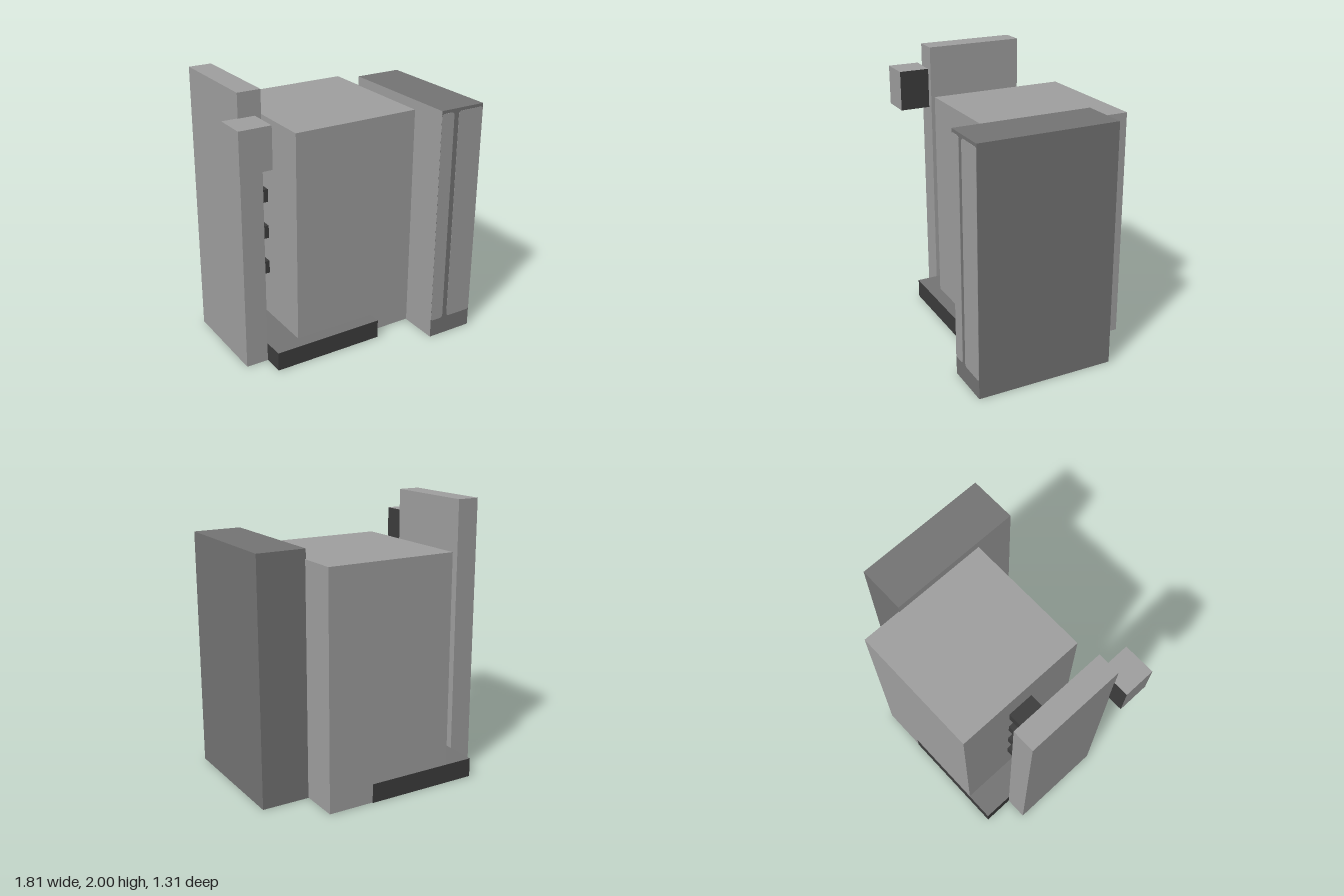
import * as THREE from 'three';

export function createModel() {
  const model = new THREE.Group();
  const material = (name, color) => {
    const m = new THREE.MeshStandardMaterial({ color });
    m.name = name;
    return m;
  };
  const light = material('lightGrey', 0x9f9f9f);
  const mid = material('midGrey', 0x747474);
  const dark = material('darkGrey', 0x3d3d3d);

  // Box from its limits; materials run +x, -x, +y, -y, +z, -z
  function block(name, [x0, x1], [y0, y1], [z0, z1], mats) {
    const mesh = new THREE.Mesh(new THREE.BoxGeometry(x1 - x0, y1 - y0, z1 - z0), mats);
    mesh.position.set((x0 + x1) / 2, (y0 + y1) / 2, (z0 + z1) / 2);
    mesh.name = name;
    model.add(mesh);
  }

  // Main body, with its underside just above the base plate's
  block('mainBody', [-0.415, 0.55], [0.003, 1.685], [-0.652, 0.355],
    [light, light, light, mid, light, light]);

  // Side tower
  block('tower', [0.545, 0.9], [0, 1.755], [-0.355, 0.652],
    [mid, light, mid, mid, mid, mid]);

  // Two light panels on the tower front, rounded beside the central strip
  function panel(name, outer, inner) {
    const s = Math.sign(outer - inner), bottom = 0.135, top = 1.732, r = 0.025;
    const shape = new THREE.Shape();
    shape.moveTo(outer, bottom + 0.008);
    shape.lineTo(outer - s * 0.015, bottom);
    shape.lineTo(inner + s * r, bottom);
    shape.quadraticCurveTo(inner, bottom, inner, bottom + r);
    shape.lineTo(inner, top - r);
    shape.quadraticCurveTo(inner, top, inner + s * r, top);
    shape.lineTo(outer - s * 0.015, top);
    shape.lineTo(outer, top - 0.008);
    const geometry = new THREE.ExtrudeGeometry(shape, { depth: 0.003, bevelEnabled: false, curveSegments: 4 });
    const mesh = new THREE.Mesh(geometry, light);
    mesh.position.z = 0.651;
    mesh.name = name;
    model.add(mesh);
  }
  panel('towerPanelInner', 0.546, 0.65);
  panel('towerPanelOuter', 0.899, 0.69);

  // Base plate with a paler top
  block('basePlate', [-0.63, 0.21], [0, 0.14], [-0.655, 0.45],
    [dark, dark, mid, dark, dark, dark]);

  // Tall side slab
  block('sideSlab', [-0.795, -0.63], [0, 2], [-0.43, 0.293],
    [light, light, light, dark, light, light]);

  // Connecting rungs between slab and body
  for (let i = 0; i < 4; i++) {
    const y = 0.488 + i * 0.283;
    block('rung' + (i + 1), [-0.63, -0.415], [y, y + 0.097], [-0.25, -0.05], dark);
  }

  // Small cube on the slab's front edge
  block('cornerCube', [-0.905, -0.675], [1.54, 1.832], [0.285, 0.515],
    [dark, light, light, dark, light, dark]);

  return model;
}
